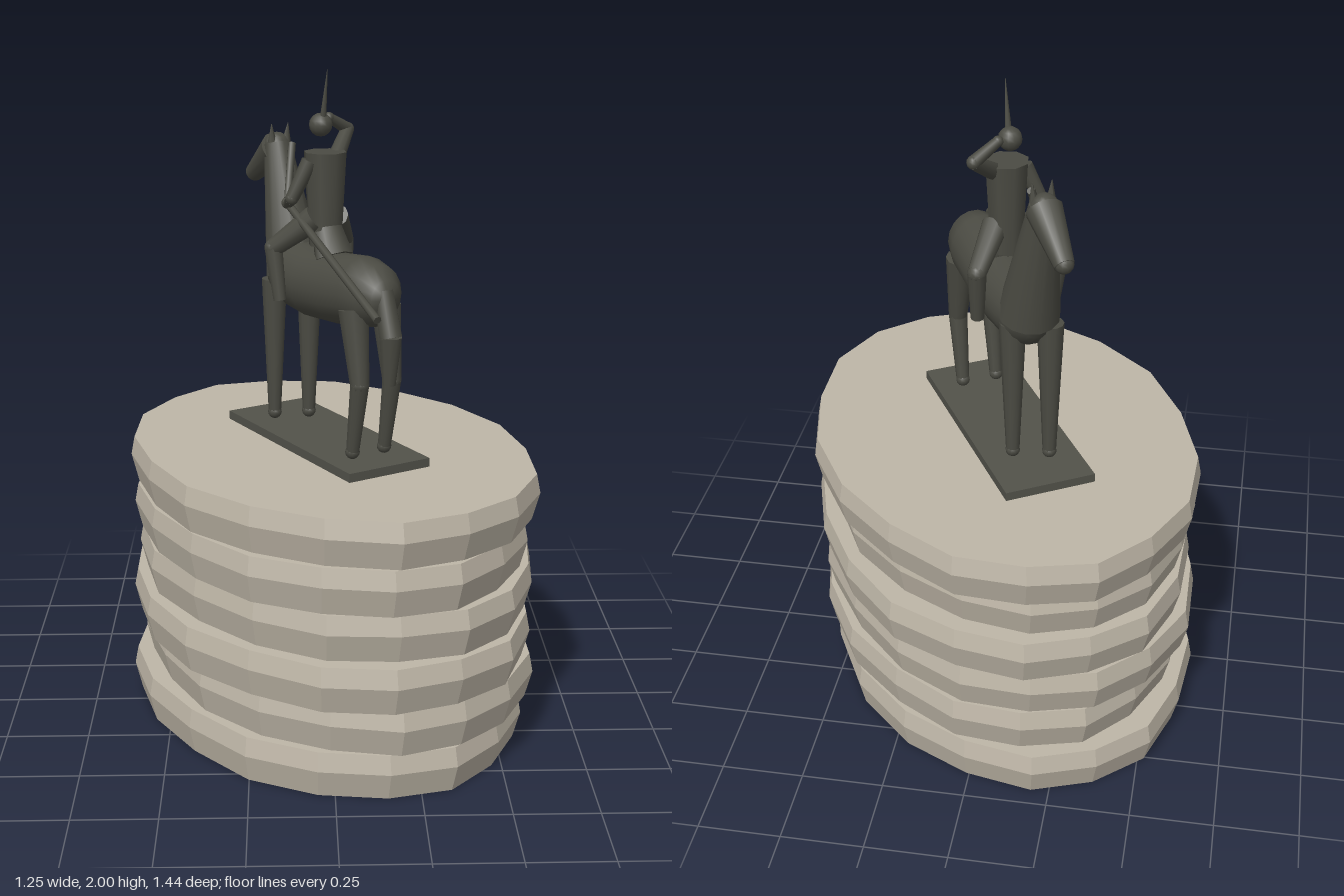
import * as THREE from 'three';

export function createModel() {
  const model = new THREE.Group();
  model.name = 'equestrianStatue';
  const mat = (name, color) => {
    const m = new THREE.MeshStandardMaterial({ color });
    m.name = name;
    return m;
  };
  const stone = mat('stone', 0xbeb6a7);
  stone.flatShading = true;
  stone.side = THREE.DoubleSide;
  const bronze = mat('bronze', 0x4b4b43);
  const plateBronze = mat('plate bronze', 0x52524a);
  const heading = Math.PI * 7 / 6;
  const V = (p) => new THREE.Vector3(...p);

  const add = (parent, name, geo, material = bronze) => {
    const m = new THREE.Mesh(geo, material);
    m.name = name;
    parent.add(m);
    return m;
  };
  // Tapered round bar from point a to point b
  const limb = (parent, name, a, b, ra, rb, sides = 10) => {
    const p = V(a), q = V(b), d = q.clone().sub(p);
    const m = add(parent, name, new THREE.CylinderGeometry(rb, ra, d.length(), sides));
    m.position.copy(p).add(q).multiplyScalar(0.5);
    m.quaternion.setFromUnitVectors(new THREE.Vector3(0, 1, 0), d.normalize());
    return m;
  };
  const ball = (parent, name, p, r) => {
    const m = add(parent, name, new THREE.SphereGeometry(r, 12, 8));
    m.position.set(...p);
    return m;
  };
  // Jointed chain of bars with a ball at every inner joint
  const chain = (parent, name, pts, radii, sides) => {
    const g = new THREE.Group();
    g.name = name;
    parent.add(g);
    for (let i = 0; i < pts.length - 1; i++) {
      limb(g, name + 'Segment', pts[i], pts[i + 1], radii[i], radii[i + 1], sides);
      if (i) ball(g, name + 'Joint', pts[i], radii[i]);
    }
    return g;
  };
  // Smooth skin over elliptical sections [z, y, rx, ry]
  const loft = (sections, sides = 18) => {
    const pos = [], idx = [];
    sections.forEach(([z, y, rx, ry], i) => {
      for (let j = 0; j < sides; j++) {
        const a = j / sides * Math.PI * 2;
        pos.push(rx * Math.cos(a), y + ry * Math.sin(a), z);
        if (!i) continue;
        const k = (j + 1) % sides, p = (i - 1) * sides, q = i * sides;
        idx.push(p + j, p + k, q + k, p + j, q + k, q + j);
      }
    });
    const g = new THREE.BufferGeometry();
    g.setAttribute('position', new THREE.Float32BufferAttribute(pos, 3));
    g.setIndex(idx);
    g.computeVertexNormals();
    return g;
  };

  // Pedestal: six oval stone courses, hollow and open below, slightly shifted
  const pedestal = new THREE.Group();
  pedestal.name = 'pedestal';
  model.add(pedestal);
  const H = 0.143;
  const profile = [[0.965, 0], [1, 0.6 * H], [0.982, H], [0, H]]
    .map(([r, y]) => new THREE.Vector2(r, y));
  const courses = [ // centre x, centre z, size
    [-0.02, -0.015, 0.97], [0.015, -0.002, 0.955], [-0.01, 0.01, 0.985],
    [0.005, -0.015, 0.975], [-0.01, 0.013, 0.95], [0, -0.018, 0.99],
  ];
  courses.forEach(([cx, cz, s], n) => {
    const geo = new THREE.LatheGeometry(profile, 18);
    const p = geo.attributes.position;
    for (let i = 0; i < p.count; i++) {
      const x = p.getX(i), z = p.getZ(i);
      const corner = Math.round(Math.atan2(x, z) / (Math.PI / 9));
      const k = s * (1 + 0.012 * Math.sin(((corner + 18) % 18) * 2.3 + n * 1.7));
      p.setXYZ(i, x * 0.58 * k, p.getY(i), z * 0.76 * k);
    }
    geo.computeVertexNormals();
    const m = add(pedestal, 'stoneCourse', geo, stone);
    m.position.set(cx, H * n, cz);
    m.rotation.y = heading;
  });

  // Statue group: local +z is the way the horse faces
  const statue = new THREE.Group();
  statue.name = 'statue';
  statue.position.set(-0.013, 0, -0.027);
  statue.rotation.y = heading;
  model.add(statue);
  add(statue, 'basePlate', new THREE.BoxGeometry(0.28, 0.027, 0.73), plateBronze)
    .position.y = 0.8715;

  // Horse
  const horse = new THREE.Group();
  horse.name = 'horse';
  statue.add(horse);
  add(horse, 'horseBody', loft([
    [-0.35, 1.38, 0.005, 0.005], [-0.335, 1.38, 0.05, 0.055], [-0.29, 1.38, 0.083, 0.092],
    [-0.22, 1.38, 0.097, 0.105], [-0.1, 1.365, 0.098, 0.107], [0.04, 1.355, 0.1, 0.107],
    [0.15, 1.362, 0.096, 0.105], [0.21, 1.37, 0.083, 0.098], [0.25, 1.38, 0.055, 0.065],
    [0.265, 1.385, 0.005, 0.005],
  ]));
  limb(horse, 'horseNeck', [0, 1.36, 0.178], [0, 1.75, 0.285], 0.092, 0.042, 14);
  ball(horse, 'horsePoll', [0, 1.742, 0.288], 0.042);
  limb(horse, 'horseHead', [0, 1.735, 0.285], [0, 1.637, 0.435], 0.053, 0.029, 12);
  ball(horse, 'horseMuzzle', [0, 1.64, 0.43], 0.028);
  limb(horse, 'horseTail', [0, 1.4, -0.32], [0, 1.27, -0.362], 0.03, 0.034);
  limb(horse, 'horseTailTip', [0, 1.275, -0.361], [0, 1.13, -0.355], 0.034, 0.02);
  for (const s of [1, -1]) {
    limb(horse, 'horseEar', [s * 0.025, 1.755, 0.272], [s * 0.029, 1.812, 0.268], 0.014, 0.001, 6);
    const fz = 0.205 + s * 0.022;
    limb(horse, 'frontLeg', [s * 0.05, 1.34, fz - 0.005], [s * 0.05, 0.9, fz], 0.04, 0.02);
    ball(horse, 'frontHoof', [s * 0.05, 0.905, fz], 0.022);
    chain(horse, 'hindLeg', [[s * 0.056, 1.34, -0.25], [s * 0.056, 1.12, -0.285],
      [s * 0.056, 0.9, -0.247]], [0.046, 0.029, 0.02]);
    ball(horse, 'hindHoof', [s * 0.056, 0.905, -0.247], 0.022);
  }

  // Rider
  const rider = new THREE.Group();
  rider.name = 'rider';
  statue.add(rider);
  limb(rider, 'torso', [0, 1.48, 0], [0, 1.76, 0], 0.05, 0.065, 8);
  limb(rider, 'coatSkirt', [0, 1.45, -0.05], [0, 1.53, -0.01], 0.06, 0.046, 8);
  ball(rider, 'riderHead', [0, 1.836, 0.025], 0.035);
  limb(rider, 'helmetSpike', [0, 1.855, 0.012], [0, 2, -0.013], 0.01, 0.001, 8);
  for (const s of [1, -1]) {
    chain(rider, 'riderLeg', [[s * 0.035, 1.565, 0.0], [s * 0.126, 1.468, 0.092],
      [s * 0.118, 1.31, 0.07]], [0.04, 0.028, 0.02]);
  }
  // Raised right arm and lowered left arm
  chain(rider, 'rightArm', [[-0.045, 1.738, 0.01], [-0.13, 1.808, 0.083],
    [-0.05, 1.85, 0.061]], [0.026, 0.02, 0.015]);
  ball(rider, 'rightHand', [-0.05, 1.85, 0.061], 0.016);
  chain(rider, 'leftArm', [[0.052, 1.735, 0], [0.1, 1.625, 0.025],
    [0.07, 1.595, 0.1]], [0.026, 0.02, 0.015]);
  ball(rider, 'leftHand', [0.07, 1.597, 0.104], 0.018);
  // Bent lance held in the left hand
  chain(rider, 'lance', [[0.12, 1.363, -0.475], [0.068, 1.595, 0.106],
    [-0.007, 1.757, 0.206]], [0.012, 0.012, 0.012], 8);

  return model;
}
